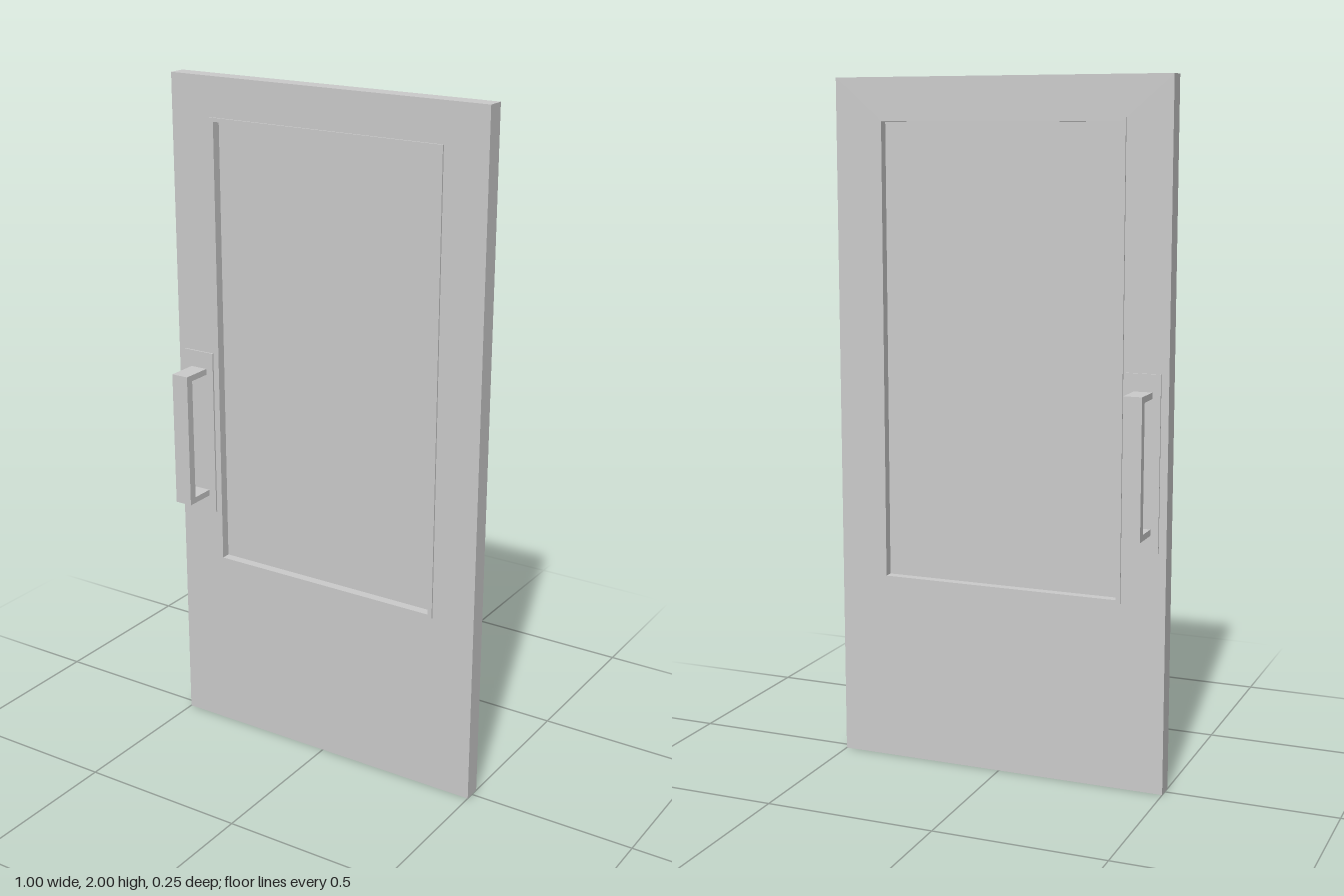
import * as THREE from 'three';

export function createModel() {
  const door = new THREE.Group();
  door.name = 'door';
  const material = new THREE.MeshStandardMaterial({ color: 0xcccccc, flatShading: true });

  const add = (parent, name, geometry, x = 0, y = 0, z = 0) => {
    const mesh = new THREE.Mesh(geometry, material);
    mesh.name = name;
    mesh.position.set(x, y, z);
    parent.add(mesh);
  };

  const rect = (PathType, x0, y0, x1, y1) => new PathType([
    new THREE.Vector2(x0, y0), new THREE.Vector2(x1, y0),
    new THREE.Vector2(x1, y1), new THREE.Vector2(x0, y1),
  ]);

  // Rectangular plate with a rectangular opening, centred on z = 0
  const ring = (outer, inner, depth) => {
    const shape = rect(THREE.Shape, ...outer);
    shape.holes.push(rect(THREE.Path, ...inner));
    return new THREE.ExtrudeGeometry(shape, { depth, bevelEnabled: false }).translate(0, 0, -depth / 2);
  };

  const frameOuter = [-0.369, 0.546, 0.369, 1.887];
  const frameInner = [-0.356, 0.556, 0.356, 1.876];

  // Slab, raised window frame and recessed pane
  add(door, 'slab', ring([-0.5, 0, 0.5, 2], frameOuter, 0.052));
  add(door, 'windowFrame', ring(frameOuter, frameInner, 0.062));
  add(door, 'windowPane', new THREE.BoxGeometry(0.712, 1.32, 0.008), 0, 1.216, 0);

  // Matching pull handles on both faces
  for (const [name, s] of [['frontHandle', 1], ['backHandle', -1]]) {
    const handle = new THREE.Group();
    handle.name = name;
    handle.position.set(-0.428, 0.95, 0);
    add(handle, 'backPlate', new THREE.BoxGeometry(0.1, 0.5, 0.006), 0, 0, s * 0.028);
    add(handle, 'grip', new THREE.BoxGeometry(0.053, 0.4, 0.024), 0, 0, s * 0.112);
    for (const y of [-0.191, 0.191]) {
      add(handle, 'post', new THREE.BoxGeometry(0.053, 0.018, 0.07), 0, y, s * 0.065);
    }
    door.add(handle);
  }
  return door;
}
